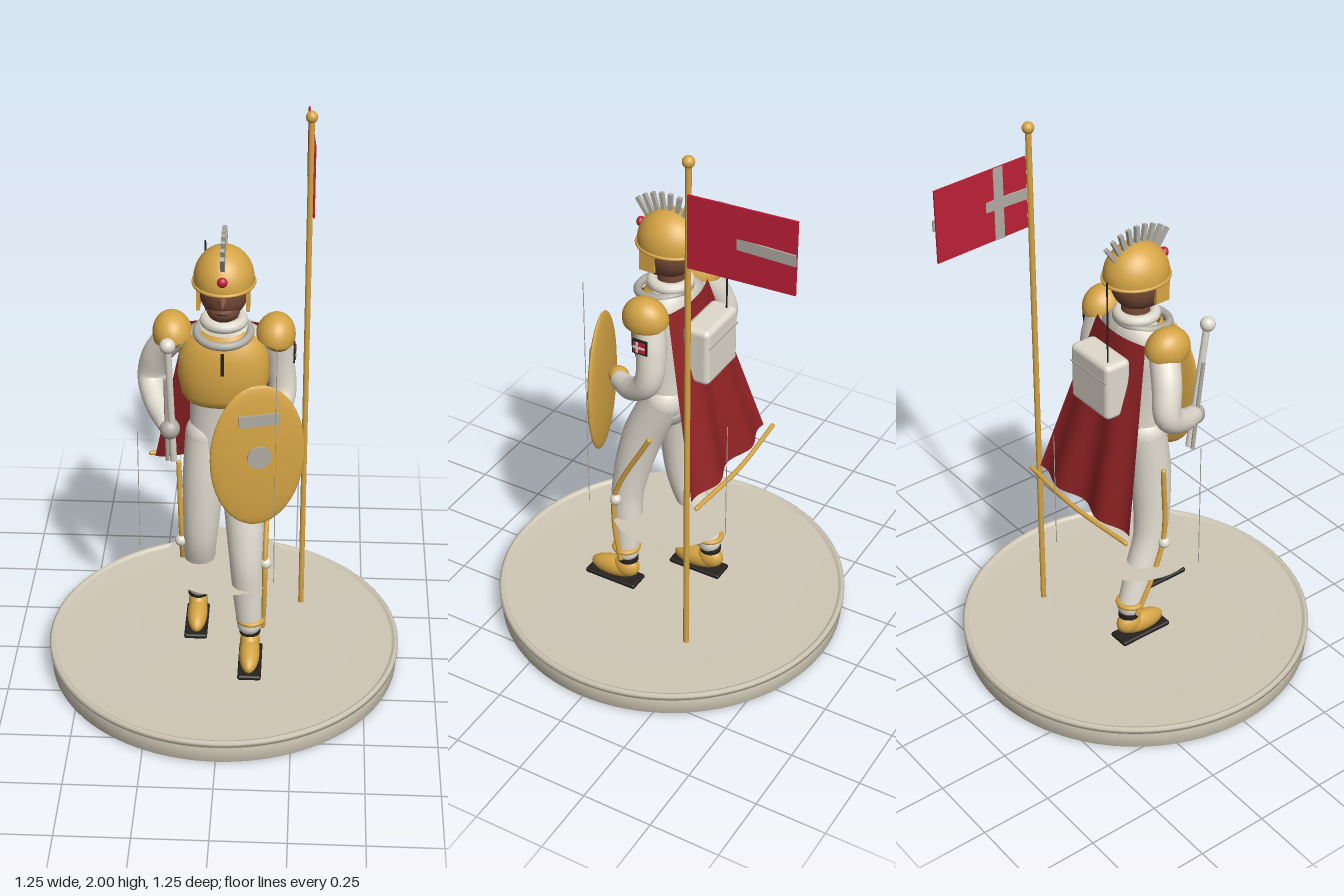
import * as THREE from 'three';
import { RoundedBoxGeometry } from 'three/addons/geometries/RoundedBoxGeometry.js';

const mat = (name, color, extra = {}) => {
  const m = new THREE.MeshStandardMaterial({ color, ...extra });
  m.name = name;
  return m;
};
const V = (a) => new THREE.Vector3(...a);

export function createModel() {
  const both = { side: THREE.DoubleSide };
  const stone = mat('stone', 0xd0c8b6, both);
  const suit = mat('suit white', 0xdfd9cd);
  const gold = mat('gold', 0xd6a545, both);
  const red = mat('flag red', 0xbe2036);
  const wine = mat('cape red', 0x8f2224, both);
  const skin = mat('skin', 0x764a36);
  const dark = mat('black', 0x25221f);
  const silver = mat('silver', 0xb0aca3);

  const model = new THREE.Group();
  const add = (name, geo, material, p = [0, 0, 0], r = [0, 0, 0], s = [1, 1, 1]) => {
    const m = new THREE.Mesh(geo, material);
    m.name = name;
    m.position.set(...p);
    m.rotation.set(...r);
    m.scale.set(...s);
    model.add(m);
    return m;
  };
  const ball = (name, material, p, s, r) => add(name, new THREE.SphereGeometry(1, 32, 20), material, p, r, s);
  const box = (name, material, p, s, r) => add(name, new THREE.BoxGeometry(...s), material, p, r);
  const rod = (name, material, a, b, radius) => {
    const d = V(b).sub(V(a));
    const m = add(name, new THREE.CylinderGeometry(radius, radius, d.length(), 14), material);
    m.position.copy(V(a).addScaledVector(d, 0.5));
    m.quaternion.setFromUnitVectors(new THREE.Vector3(0, 1, 0), d.normalize());
  };
  // Tapered tube: points are [x, y, z, radius]
  const limb = (name, material, pts) => {
    const curve = new THREE.CatmullRomCurve3(pts.map((p) => V(p.slice(0, 3))));
    const n = 28, k = 20;
    const geo = new THREE.TubeGeometry(curve, n, 1, k, false);
    const pos = geo.attributes.position, v = new THREE.Vector3();
    for (let i = 0; i <= n; i++) {
      const t = curve.getUtoTmapping(i / n) * (pts.length - 1);
      const j = Math.min(Math.floor(t), pts.length - 2);
      const radius = THREE.MathUtils.lerp(pts[j][3], pts[j + 1][3], t - j);
      const c = curve.getPointAt(i / n);
      for (let q = 0; q <= k; q++) {
        const id = i * (k + 1) + q;
        v.fromBufferAttribute(pos, id).sub(c).multiplyScalar(radius).add(c);
        pos.setXYZ(id, v.x, v.y, v.z);
      }
    }
    add(name, geo, material);
    for (const p of [pts[0], pts.at(-1)]) ball(name + 'End', material, p.slice(0, 3), [p[3], p[3], p[3]]);
  };
  // Upright body of elliptical sections [y, z, rx, rz]; arc limits it to the front
  const loft = (name, material, rows, arc = Math.PI * 2) => {
    const n = 36, geo = new THREE.PlaneGeometry(1, 1, n, rows.length - 1);
    const pos = geo.attributes.position;
    rows.forEach(([y, z, rx, rz], i) => {
      for (let q = 0; q <= n; q++) {
        const a = (q / n - 0.5) * arc;
        pos.setXYZ(i * (n + 1) + q, Math.sin(a) * rx, y, z + Math.cos(a) * rz);
      }
    });
    geo.computeVertexNormals();
    return add(name, geo, material);
  };

  // Display base and the flat ring plate around the knees
  const profile = [[0, 0], [0.6, 0], [0.618, 0.006], [0.618, 0.06], [0.61, 0.066], [0.625, 0.072],
    [0.625, 0.085], [0.617, 0.092], [0.607, 0.088], [0.6, 0.078], [0.3, 0.08], [0, 0.085]];
  add('base', new THREE.LatheGeometry(profile.map((p) => new THREE.Vector2(...p)), 96), stone);
  add('kneePlate', new THREE.CircleGeometry(0.215, 64), stone, [0, 0.4, 0], [-Math.PI / 2, 0, 0]);
  [[0.18, 0.23, 1.37], [-0.29, 0.05, 0.95], [0.1, -0.27, 0.92]].forEach(([x, z, top]) =>
    rod('thread', silver, [x, 0.47, z], [x, top, z], 0.0015));

  // Legs with side stripes, shoes and ankle rings
  const legs = [
    { s: 1, knee: 0.13, ankle: 0.13, foot: 0.18 },
    { s: -1, knee: 0.0, ankle: -0.1, foot: -0.055 },
  ];
  for (const { s, knee, ankle, foot } of legs) {
    limb('leg', suit, [[s * 0.058, 0.92, -0.005, 0.074], [s * 0.07, 0.74, (knee + 0.02) * 0.5, 0.072],
      [s * 0.083, 0.5, knee, 0.058], [s * 0.09, 0.36, (knee + ankle) / 2, 0.054], [s * 0.095, 0.23, ankle, 0.043]]);
    limb('legStripe', gold, [[s * 0.155, 0.8, 0, 0.009], [s * 0.148, 0.52, knee + 0.01, 0.009],
      [s * 0.147, 0.38, (knee + ankle) / 2 + 0.02, 0.009], [s * 0.142, 0.22, ankle, 0.009]]);
    ball('kneeStud', suit, [s * 0.15, 0.49, knee + 0.01], [0.021, 0.021, 0.021]);
    add('ankleRing', new THREE.TorusGeometry(0.042, 0.01, 10, 28), gold, [s * 0.1, 0.25, ankle], [Math.PI / 2, 0, 0]);
    add('cuff', new THREE.CylinderGeometry(0.037, 0.037, 0.02, 24), dark, [s * 0.097, 0.2, ankle - 0.005]);
    ball('shoe', gold, [s * 0.098, 0.138, foot], [0.036, 0.04, 0.097], [0.12, 0, 0]);
    ball('shoeHeel', gold, [s * 0.098, 0.157, foot - 0.048], [0.035, 0.043, 0.05]);
    add('sole', new RoundedBoxGeometry(0.082, 0.018, 0.205, 3, 0.008), dark, [s * 0.1, 0.1, foot]);
  }

  // Body
  loft('torso', suit, [[1.37, 0, 0.045, 0.045], [1.34, -0.005, 0.08, 0.06], [1.3, -0.01, 0.14, 0.075],
    [1.2, 0, 0.14, 0.085], [1.06, -0.005, 0.115, 0.078], [0.96, -0.005, 0.115, 0.08],
    [0.88, -0.005, 0.122, 0.082], [0.83, 0, 0.1, 0.07], [0.81, 0, 0.04, 0.03]]);
  loft('breastplate', gold, [[1.33, 0.02, 0.07, 0.065], [1.3, 0.025, 0.12, 0.075], [1.25, 0.03, 0.148, 0.085],
    [1.17, 0.03, 0.153, 0.09], [1.1, 0.03, 0.14, 0.08], [1.07, 0.03, 0.12, 0.068], [1.055, 0.03, 0.1, 0.04]], Math.PI);
  box('zip', dark, [0, 1.245, 0.117], [0.012, 0.08, 0.008]);
  add('neck', new THREE.CylinderGeometry(0.045, 0.05, 0.09, 24), skin, [0, 1.38, 0]);
  add('collar', new THREE.TorusGeometry(0.06, 0.02, 12, 40), suit, [0, 1.355, 0.005], [Math.PI / 2, 0, 0]);
  add('neckRing', new THREE.TorusGeometry(0.088, 0.014, 12, 40), silver, [0, 1.325, 0.03], [Math.PI / 2 + 0.15, 0, 0]);

  // Head and face
  ball('head', skin, [0, 1.475, 0.01], [0.083, 0.1, 0.095]);
  ball('jaw', skin, [0, 1.415, 0.04], [0.056, 0.045, 0.058]);
  add('nose', new THREE.ConeGeometry(0.022, 0.06, 16), skin, [0, 1.465, 0.115], [Math.PI / 2 + 0.15, 0, 0]);
  ball('mouth', dark, [0, 1.418, 0.096], [0.02, 0.004, 0.004]);
  for (const s of [1, -1]) {
    ball('eye', suit, [s * 0.033, 1.487, 0.093], [0.014, 0.008, 0.005], [0, s * 0.35, 0]);
    ball('pupil', dark, [s * 0.033, 1.487, 0.097], [0.006, 0.006, 0.003]);
    box('brow', dark, [s * 0.035, 1.505, 0.097], [0.032, 0.006, 0.008], [0, s * 0.35, s * 0.12]);
    box('cheekGuard', gold, [s * 0.081, 1.457, 0.045], [0.012, 0.075, 0.055]);
  }

  // Helmet with gem and fan crest
  const dome = new THREE.SphereGeometry(1, 40, 20, 0, Math.PI * 2, 0, Math.PI * 0.54);
  add('helmet', dome, gold, [0, 1.505, 0.003], [0, 0, 0], [0.1, 0.112, 0.115]);
  add('helmetRim', new THREE.TorusGeometry(0.1, 0.006, 10, 40), gold, [0, 1.495, 0.003], [Math.PI / 2, 0, 0], [1, 1.15, 1]);
  ball('gem', red, [0, 1.543, 0.117], [0.017, 0.017, 0.014]);
  for (let i = 0; i < 9; i++) {
    const a = (i - 4) * 0.2;
    box('crestBristle', silver, [0, 1.515 + Math.cos(a) * 0.125, 0.005 + Math.sin(a) * 0.145], [0.014, 0.068, 0.014], [a * 0.75, 0, 0]);
  }

  // Arms, gloves and shoulder pads
  limb('rightArm', suit, [[-0.165, 1.29, -0.01, 0.052], [-0.225, 1.2, -0.045, 0.05], [-0.25, 1.1, -0.06, 0.046],
    [-0.225, 1.04, 0.02, 0.04], [-0.19, 1.01, 0.09, 0.034]]);
  limb('leftArm', suit, [[0.165, 1.29, -0.01, 0.052], [0.185, 1.18, -0.03, 0.05], [0.195, 1.07, -0.02, 0.046],
    [0.165, 1.0, 0.06, 0.04], [0.12, 0.98, 0.13, 0.034]]);
  ball('rightGlove', silver, [-0.175, 1.0, 0.115], [0.034, 0.036, 0.036]);
  ball('leftGlove', gold, [0.09, 0.975, 0.155], [0.034, 0.034, 0.036]);
  for (const s of [1, -1]) {
    add('shoulderPad', dome, gold, [s * 0.17, 1.3, 0], [0, 0, -s * 0.2], [0.066, 0.078, 0.08]);
    ball('shoulderPadBase', gold, [s * 0.18, 1.295, 0], [0.052, 0.045, 0.072]);
  }
  // Sleeve badge
  box('badgeBorder', dark, [0.233, 1.23, -0.015], [0.006, 0.054, 0.056]);
  box('badge', red, [0.236, 1.23, -0.015], [0.006, 0.038, 0.044]);
  box('badgeBar', suit, [0.239, 1.23, -0.015], [0.004, 0.008, 0.044]);
  box('badgePost', suit, [0.239, 1.23, -0.008], [0.004, 0.038, 0.008]);

  // Baton in the right hand
  rod('baton', suit, [-0.165, 0.87, 0.1], [-0.175, 1.33, 0.16], 0.012);
  rod('batonSide', silver, [-0.185, 0.87, 0.1], [-0.185, 1.2, 0.14], 0.007);
  ball('batonKnob', suit, [-0.175, 1.335, 0.163], [0.026, 0.026, 0.026]);

  // Oval shield, turned outward
  const shield = new THREE.Group();
  shield.name = 'shield';
  shield.position.set(0.12, 0.955, 0.203);
  shield.rotation.y = 0.27;
  model.add(shield);
  shield.add(
    ball('shieldFace', gold, [0, 0, 0], [0.161, 0.265, 0.022]),
    box('shieldWindow', silver, [0, 0.145, 0.019], [0.135, 0.042, 0.008]),
    add('shieldBoss', new THREE.CylinderGeometry(0.041, 0.041, 0.012, 32), silver, [0, 0.008, 0.023], [Math.PI / 2, 0, 0]),
  );

  // Cape with a gold hem bar
  const cape = new THREE.PlaneGeometry(1, 1, 40, 20);
  const cp = cape.attributes.position;
  for (let i = 0; i < cp.count; i++) {
    const u = cp.getX(i) * 2, t = 0.5 - cp.getY(i);
    const wave = 0.016 * Math.cos(u * 7) * t + 0.025 * u * u * (1 - t);
    cp.setXYZ(i, u * (0.13 + 0.125 * t), 1.31 - 0.62 * t, -0.085 - 0.15 * t + wave);
  }
  cape.computeVertexNormals();
  add('cape', cape, wine);
  limb('capeBar', gold, [[-0.272, 0.685, -0.25, 0.008], [0, 0.685, -0.267, 0.008], [0.268, 0.685, -0.25, 0.008]]);

  // Backpack and aerial
  add('backpack', new RoundedBoxGeometry(0.205, 0.21, 0.1, 4, 0.02), suit, [0, 1.157, -0.145]);
  box('backpackSeam', silver, [0, 1.2, -0.196], [0.19, 0.004, 0.004]);
  rod('aerial', dark, [-0.07, 1.25, -0.167], [-0.07, 1.56, -0.167], 0.003);
  rod('backCanister', gold, [0, 0.94, -0.095], [0, 1.05, -0.095], 0.014);

  // Flag pole and cross flag
  rod('flagPole', gold, [0.273, 0.085, -0.215], [0.273, 1.97, -0.215], 0.01);
  ball('poleKnob', gold, [0.273, 1.98, -0.215], [0.02, 0.02, 0.02]);
  box('flag', red, [0.275, 1.75, -0.4], [0.006, 0.255, 0.36], [0, 0.065, 0]);
  box('flagCrossBar', silver, [0.276, 1.75, -0.4], [0.006, 0.038, 0.364]);
  box('flagCrossPost', silver, [0.276, 1.75, -0.335], [0.006, 0.255, 0.036]);
  return model;
}
